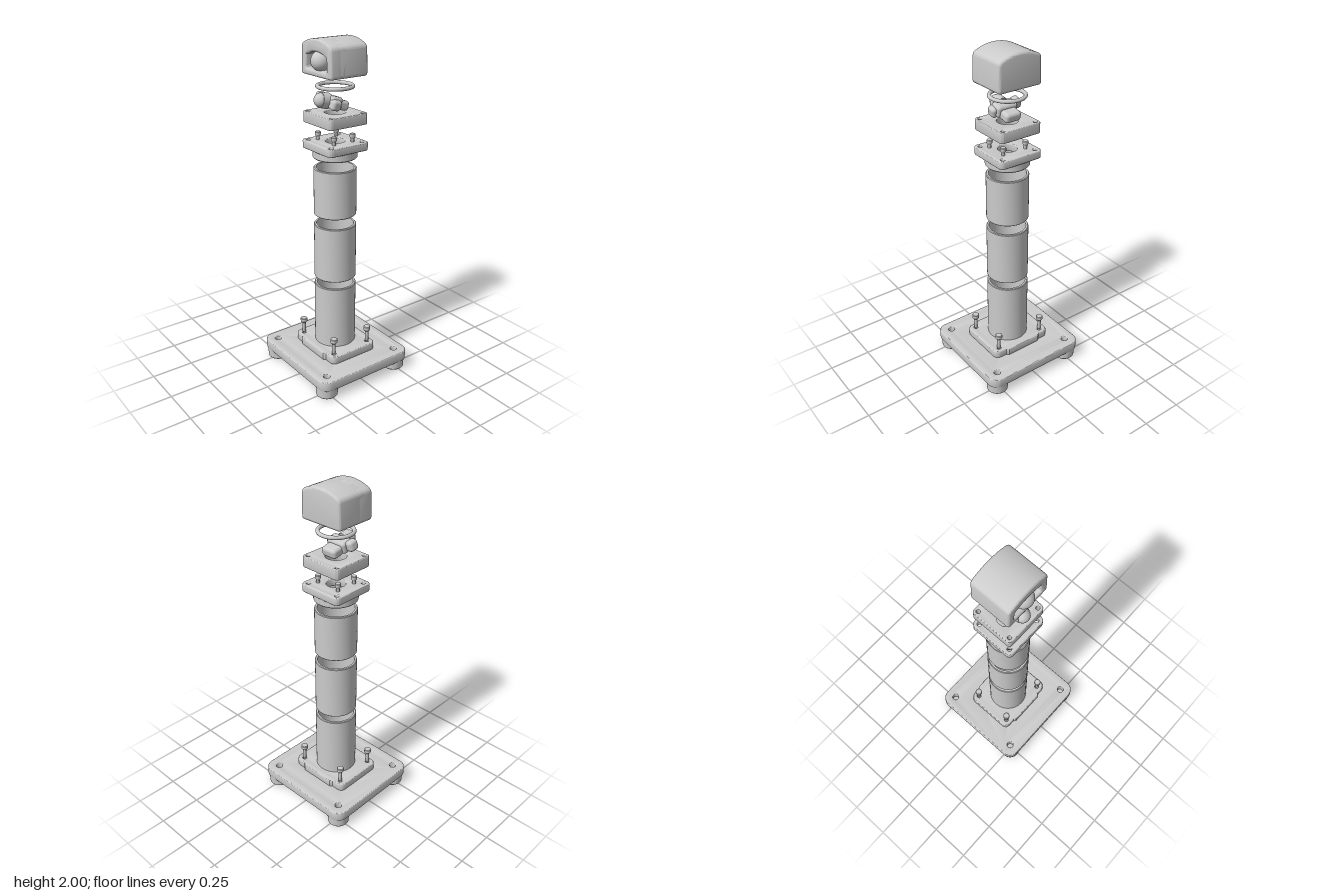
import * as THREE from 'three';
import { toCreasedNormals } from 'three/addons/utils/BufferGeometryUtils.js';
import { RoundedBoxGeometry } from 'three/addons/geometries/RoundedBoxGeometry.js';

const material = new THREE.MeshStandardMaterial({ color: 0xcccccc });
const corners = (x, z) => [[x, z], [-x, z], [-x, -z], [x, -z]];

function add(parent, name, geometry, x = 0, y = 0, z = 0) {
  const mesh = new THREE.Mesh(geometry, material);
  mesh.name = name;
  mesh.position.set(x, y, z);
  parent.add(mesh);
  return mesh;
}

function roundedRect(w, d, r) {
  const s = new THREE.Shape();
  s.absarc(w - r, d - r, r, 0, Math.PI / 2);
  s.absarc(r - w, d - r, r, Math.PI / 2, Math.PI);
  s.absarc(r - w, r - d, r, Math.PI, Math.PI * 1.5);
  s.absarc(w - r, r - d, r, Math.PI * 1.5, Math.PI * 2);
  s.closePath();
  return s;
}

function drill(shape, centres, r) {
  for (const [x, y] of centres) {
    const hole = new THREE.Path();
    hole.absarc(x, y, r, 0, Math.PI * 2, true);
    shape.holes.push(hole);
  }
  return shape;
}

// Extrusion from 0 to depth with softened edges that stay inside the outline
function extrude(shape, depth, bevel) {
  const geometry = new THREE.ExtrudeGeometry(shape, {
    depth: depth - 2 * bevel, bevelThickness: bevel, bevelSize: bevel,
    bevelOffset: -bevel, bevelSegments: 3, curveSegments: 10,
  });
  geometry.translate(0, 0, bevel);
  return toCreasedNormals(geometry, 0.6);
}

const plate = (shape, height, bevel) => extrude(shape, height, bevel).rotateX(-Math.PI / 2);

function lathe(points, segments = 40) {
  const profile = points.map(([r, y]) => new THREE.Vector2(r, y));
  return toCreasedNormals(new THREE.LatheGeometry(profile, segments), 0.6);
}

// Hollow ring or pipe with small edge chamfers
function pipe(outer, inner, height, c = 0.004) {
  return lathe([[outer - c, 0], [outer, c], [outer, height - c], [outer - c, height],
    [inner, height], [inner, 0], [outer - c, 0]]);
}

// Screw with its tip at y = 0
function screw(length, headRadius, shankRadius, headHeight) {
  const neck = length - headHeight;
  return lathe([[0, 0], [shankRadius * 0.8, 0], [shankRadius, 0.008],
    [shankRadius, neck - 0.012], [headRadius, neck], [headRadius, length - 0.003],
    [headRadius - 0.003, length], [0, length]], 20);
}

// Front outline of the head: flat bottom, rounded shoulders, arched top
function headOutline() {
  const s = new THREE.Shape();
  s.moveTo(-0.12, 1.8);
  s.lineTo(0.12, 1.8);
  s.quadraticCurveTo(0.14, 1.8, 0.14, 1.82);
  s.lineTo(0.136, 1.945);
  s.quadraticCurveTo(0.135, 1.967, 0.115, 1.975);
  s.quadraticCurveTo(0.06, 2, 0, 2);
  s.quadraticCurveTo(-0.06, 2, -0.115, 1.975);
  s.quadraticCurveTo(-0.135, 1.967, -0.136, 1.945);
  s.lineTo(-0.14, 1.82);
  s.quadraticCurveTo(-0.14, 1.8, -0.12, 1.8);
  return s;
}

function buildBase(root) {
  const base = new THREE.Group();
  base.name = 'base';
  root.add(base);
  const feet = corners(0.262, 0.253), bolts = corners(0.157, 0.125);

  const slab = drill(drill(roundedRect(0.333, 0.32, 0.06), feet, 0.02), bolts, 0.009);
  add(base, 'basePlate', plate(slab, 0.06, 0.005), 0, 0.06);

  // Feet with a stepped recess underneath
  for (const [x, z] of feet) {
    add(base, 'foot', lathe([[0, 0.03], [0.018, 0.03], [0.018, 0.012], [0.04, 0.012], [0.04, 0],
      [0.058, 0], [0.063, 0.006], [0.066, 0.065], [0, 0.065]]), x, 0, z);
  }

  // Bolted flange with a wider middle front and back
  const s = new THREE.Shape();
  s.moveTo(0.2, -0.12);
  s.lineTo(0.2, 0.12);
  s.quadraticCurveTo(0.2, 0.16, 0.16, 0.16);
  s.lineTo(0.125, 0.16);
  s.lineTo(0.11, 0.172);
  s.lineTo(-0.11, 0.172);
  s.lineTo(-0.125, 0.16);
  s.lineTo(-0.16, 0.16);
  s.quadraticCurveTo(-0.2, 0.16, -0.2, 0.12);
  s.lineTo(-0.2, -0.12);
  s.quadraticCurveTo(-0.2, -0.16, -0.16, -0.16);
  s.lineTo(-0.125, -0.16);
  s.lineTo(-0.11, -0.172);
  s.lineTo(0.11, -0.172);
  s.lineTo(0.125, -0.16);
  s.lineTo(0.16, -0.16);
  s.quadraticCurveTo(0.2, -0.16, 0.2, -0.12);
  add(base, 'baseFlange', plate(drill(s, bolts, 0.012), 0.05, 0.006), 0, 0.119);
  for (const [x, z] of bolts) add(base, 'baseScrew', screw(0.1, 0.021, 0.011, 0.022), x, 0.17, z);
}

function buildSensor(root) {
  const sensor = new THREE.Group();
  sensor.name = 'sensor';
  sensor.position.set(0, 1.655, 0.03);
  sensor.rotation.x = -0.22;
  root.add(sensor);
  add(sensor, 'sensorBody', new RoundedBoxGeometry(0.13, 0.07, 0.075, 3, 0.018));
  add(sensor, 'rearHousing', new RoundedBoxGeometry(0.1, 0.055, 0.08, 3, 0.018), 0, -0.01, -0.058);
  for (const side of [-1, 1]) {
    const lug = add(sensor, 'sideLug', new RoundedBoxGeometry(0.05, 0.06, 0.06, 3, 0.018),
      side * 0.07 - 0.01, -side * 0.01, 0.01);
    lug.rotation.z = -0.2;
  }
  const barrel = new THREE.CylinderGeometry(0.042, 0.045, 0.05, 28).rotateX(Math.PI / 2);
  add(sensor, 'lensBarrel', barrel, 0, 0.002, 0.05);
  add(sensor, 'lens', new THREE.SphereGeometry(0.04, 28, 18), 0, 0.002, 0.068);
}

function buildHead(root) {
  const head = new THREE.Group();
  head.name = 'head';
  root.add(head);
  add(head, 'headShell', extrude(headOutline(), 0.198, 0.014), 0, 0, -0.118);

  // Front rim around the window, overlapping the shell behind it
  const rim = headOutline();
  const opening = new THREE.Path();
  opening.moveTo(-0.085, 1.835);
  opening.quadraticCurveTo(-0.096, 1.835, -0.096, 1.85);
  opening.lineTo(-0.09, 1.91);
  opening.quadraticCurveTo(0, 1.955, 0.09, 1.91);
  opening.lineTo(0.096, 1.85);
  opening.quadraticCurveTo(0.096, 1.835, 0.085, 1.835);
  opening.closePath();
  rim.holes.push(opening);
  add(head, 'windowRim', extrude(rim, 0.107, 0.011), 0, 0, 0.02);
  add(head, 'windowDome', new THREE.SphereGeometry(0.055, 36, 24), 0, 1.883, 0.095);
}

export function createModel() {
  const root = new THREE.Group();
  root.name = 'explodedSensorPost';
  buildBase(root);

  // Three separated post sections
  for (const [bottom, top] of [[0.16, 0.555], [0.6, 0.935], [0.995, 1.277]]) {
    add(root, 'postTube', pipe(0.123, 0.108, top - bottom), 0, bottom);
  }

  // Top flange: round collar, square plate and four screws
  const holes = corners(0.108, 0.106);
  const flange = drill(drill(roundedRect(0.14, 0.137, 0.028), holes, 0.012), [[0, 0]], 0.055);
  add(root, 'topFlangePlate', plate(flange, 0.047, 0.005), 0, 1.383);
  add(root, 'topFlangeCollar', pipe(0.127, 0.1, 0.053, 0.006), 0, 1.335);
  for (const [x, z] of corners(0.076, 0.064)) {
    add(root, 'topScrew', screw(0.065, 0.017, 0.01, 0.018), x, 1.412, z);
  }

  // Mounting plate carrying the sensor
  const mount = drill(drill(roundedRect(0.134, 0.131, 0.022), holes, 0.011), [[0, 0]], 0.06);
  add(root, 'mountingPlate', plate(mount, 0.064, 0.005), 0, 1.531);
  buildSensor(root);

  const seal = new THREE.TorusGeometry(0.098, 0.011, 14, 56).rotateX(Math.PI / 2);
  add(root, 'sealRing', seal, 0, 1.738);
  buildHead(root);
  return root;
}
